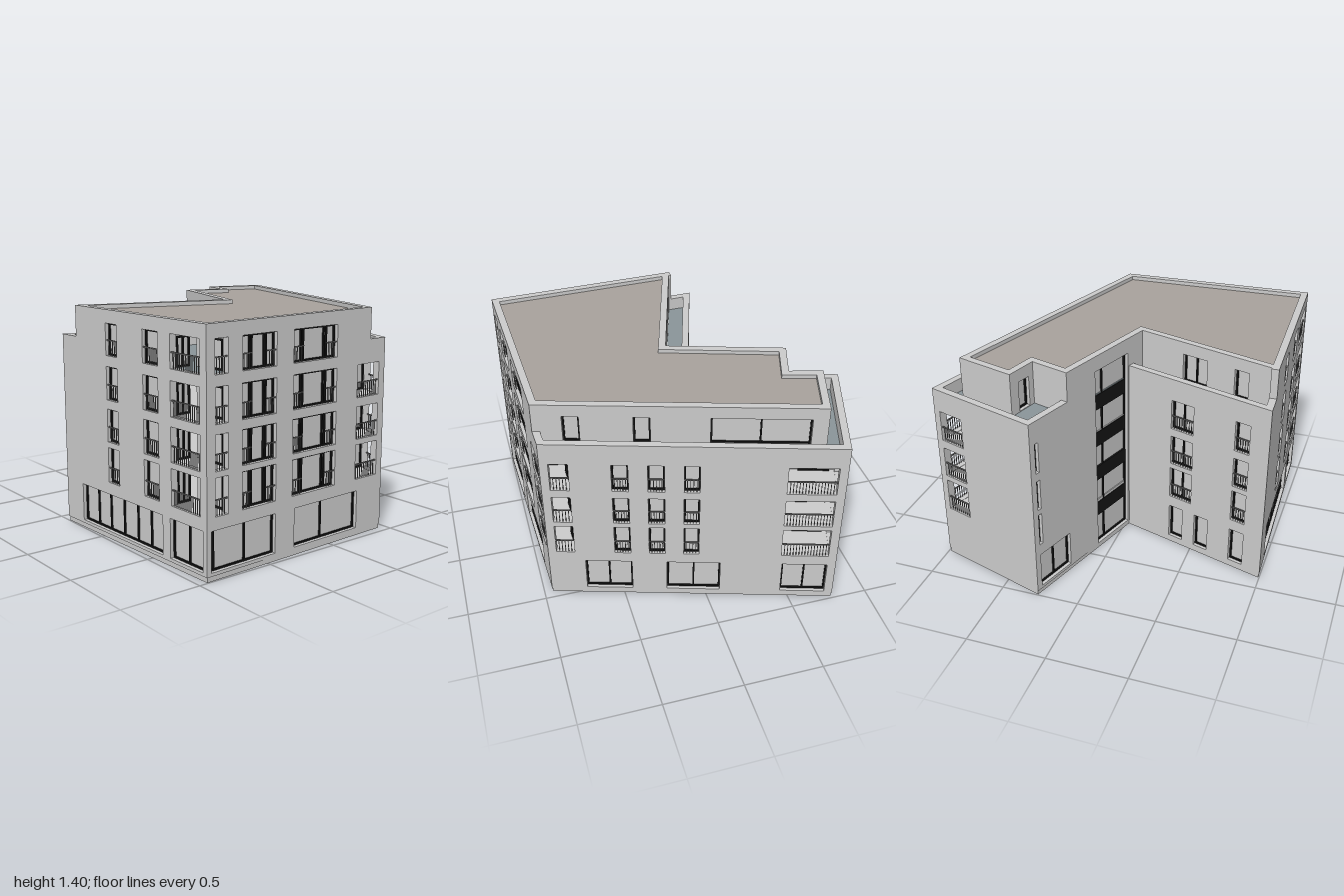
import * as THREE from 'three';

const wallMat = new THREE.MeshStandardMaterial({ color: 0xcccccc });
const paneMat = new THREE.MeshStandardMaterial({ color: 0xcccccc });
const frameMat = new THREE.MeshStandardMaterial({ color: 0x151515 });
const railMat = new THREE.MeshStandardMaterial({ color: 0x777777 });
const roofMat = new THREE.MeshStandardMaterial({ color: 0xa8a29d });
const deckMat = new THREE.MeshStandardMaterial({ color: 0x8a9599 });

const TH = 0.045; // wall thickness
const v = (x, z) => new THREE.Vector2(x, z);
const mix = (a, b, t) => a.clone().lerp(b, t);

// Plan corners as (x, z), in order round the building
const A = v(-0.95, 1), B = v(0.45, 0.95), C = v(0.99, -0.77), D = v(0.26, -1), E = v(-0.03, -0.1), F = v(-1, -0.4);
const MAIN = [A, B, C, D, E, F];
const T_AB = 0.907, T_DE = 0.36, T_FA = 0.11; // where the top storey steps
const TOP = [A, mix(A, B, T_AB), v(0.83, -0.69), v(0.455, -0.8), v(0.4, -0.6), mix(D, E, T_DE), E, mix(D, E, 1.15), mix(F, A, T_FA)];

const ROWS = [[0.36, 0.575], [0.61, 0.81], [0.865, 1.065], [1.13, 1.32]];
const GROUND = [0.05, 0.285], PARAPET = 1.21, ROOF = 1.4;

// Half-angle factor of the interior corner i, used for mitres and insets
function mitre(poly, i) {
  const n = poly.length, k = poly[i];
  const e1 = k.clone().sub(poly[(i + n - 1) % n]).normalize();
  const e2 = poly[(i + 1) % n].clone().sub(k).normalize();
  const turn = Math.atan2(e1.y * e2.x - e1.x * e2.y, e1.dot(e2));
  return { m: Math.tan(turn / 2), e1, e2 };
}

function inset(poly, d) {
  return poly.map((k, i) => {
    const { m, e2 } = mitre(poly, i);
    return v(k.x + e2.y * d + e2.x * d * m, k.y - e2.x * d + e2.y * d * m);
  });
}

function box(parent, name, mat, w, h, d, x, y, z) {
  const b = new THREE.Mesh(new THREE.BoxGeometry(w, h, d), mat);
  b.position.set(x, y, z);
  b.name = name;
  parent.add(b);
}

// Horizontal slab with its top at y
function slab(parent, name, poly, y, h, mat) {
  const s = new THREE.Shape(poly.map(p => v(p.x, -p.y)));
  const m = new THREE.Mesh(new THREE.ExtrudeGeometry(s, { depth: h, bevelEnabled: false }), mat);
  m.rotation.x = -Math.PI / 2;
  m.position.y = y - h;
  m.name = name;
  parent.add(m);
}

// Group whose x runs from p to q and whose z points outward
function facade(parent, name, p, q) {
  const g = new THREE.Group();
  g.position.set(p.x, 0, p.y);
  g.rotation.y = Math.atan2(p.y - q.y, q.x - p.x);
  g.name = name;
  parent.add(g);
  return g;
}

function glazing(g, u0, u1, y0, y1, bars = [], z = -0.035) {
  const w = u1 - u0, h = y1 - y0, um = (u0 + u1) / 2, ym = (y0 + y1) / 2, f = 0.01;
  box(g, 'windowPane', paneMat, w, h, 0.006, um, ym, z);
  for (const y of [y0 + f / 2, y1 - f / 2]) box(g, 'windowFrame', frameMat, w, f, 0.018, um, y, z + 0.004);
  for (const t of [0, ...bars, 1]) {
    const u = THREE.MathUtils.clamp(u0 + t * w, u0 + f / 2, u1 - f / 2);
    box(g, 'windowFrame', frameMat, f, h, 0.018, u, ym, z + 0.004);
  }
}

function railing(g, u0, u1, y0) {
  const n = Math.max(2, Math.round((u1 - u0) / 0.018)), h = 0.09;
  box(g, 'handrail', railMat, u1 - u0, 0.007, 0.008, (u0 + u1) / 2, y0 + h, -0.01);
  for (let i = 1; i < n; i++)
    box(g, 'baluster', railMat, 0.004, h, 0.004, u0 + (u1 - u0) * i / n, y0 + h / 2, -0.01);
}

// Mitred wall on edge i. tops: [t, height] steps; holes: {t:[a,b], y:[a,b], bars, rails, open}
function wall(parent, name, poly, i, y0, tops, holes) {
  const j = (i + 1) % poly.length, L = poly[i].distanceTo(poly[j]);
  const g = facade(parent, name, poly[i], poly[j]);
  const pts = [v(0, y0), v(L, y0)];
  for (let k = tops.length - 1; k >= 0; k--) {
    const end = k + 1 < tops.length ? tops[k + 1][0] : 1;
    pts.push(v(end * L, tops[k][1]), v(tops[k][0] * L, tops[k][1]));
  }
  const shape = new THREE.Shape(pts);
  for (const { t, y } of holes) {
    const a = t[0] * L, b = t[1] * L;
    shape.holes.push(new THREE.Path([v(a, y[0]), v(a, y[1]), v(b, y[1]), v(b, y[0])]));
  }
  const geo = new THREE.ExtrudeGeometry(shape, { depth: TH, bevelEnabled: false }).translate(0, 0, -TH);
  const m0 = mitre(poly, i).m, m1 = mitre(poly, j).m, pos = geo.attributes.position;
  for (let k = 0; k < pos.count; k++) {
    if (pos.getZ(k) > -TH / 2) continue;
    const x = pos.getX(k);
    if (x < 1e-4) pos.setX(k, TH * m0);
    else if (x > L - 1e-4) pos.setX(k, L - TH * m1);
  }
  geo.computeVertexNormals();
  const mesh = new THREE.Mesh(geo, wallMat);
  mesh.name = name + 'Panel';
  g.add(mesh);
  for (const { t, y, bars, rails = [], open } of holes) {
    const a = t[0] * L, b = t[1] * L;
    if (!open) glazing(g, a, b, y[0], y[1], bars);
    for (const [r0, r1] of rails) railing(g, a + (b - a) * r0, a + (b - a) * r1, y[0]);
  }
  return g;
}

// Partitions closing off the open balcony room at a corner
function loggia(parent, i, a, b, rows) {
  const { e1, e2 } = mitre(MAIN, i), k = MAIN[i];
  const p = k.clone().addScaledVector(e1, -a), q = p.clone().addScaledVector(e2, b), r = k.clone().addScaledVector(e2, b);
  for (const [s, e] of [[p, q], [q, r]]) {
    const g = facade(parent, 'loggiaPartition', s, e), L = s.distanceTo(e);
    const m = TH * 0.6;
    for (const [y0, y1] of rows) {
      box(g, 'partition', wallMat, L - 2 * m, y1 - y0 + 0.05, 0.012, L / 2, (y0 + y1) / 2, -0.006);
      glazing(g, L * 0.3, L * 0.8, y0, y1 - 0.02, [0.5], 0.002);
    }
  }
}

export function createModel() {
  const model = new THREE.Group();
  model.name = 'apartmentBuilding';
  const low = ROWS.slice(0, 3), all = [[0, 1]];
  const column = (t, rows, opt) => rows.map(y => ({ t, y, ...opt }));
  const fx = (a, b) => [(a + 0.95) / 1.4, (b + 0.95) / 1.4];
  const fz = (a, b) => [(0.95 - a) / 1.72, (0.95 - b) / 1.72];
  const fp = (a, b) => [(0.955 - a) / 1.645, (0.955 - b) / 1.645];
  const balcony = { open: true, rails: all };
  const french = { rails: all };

  // Main walls
  wall(model, 'frontWall', MAIN, 0, 0.03, [[0, ROOF], [T_AB, PARAPET]], [
    ...column(fx(-0.89, -0.8), ROWS, balcony),
    ...column(fx(-0.7, -0.45), ROWS, { bars: [0.28, 0.34, 0.7, 0.76], rails: [[0, 0.3], [0.74, 1]] }),
    ...column(fx(-0.32, 0.03), ROWS, { bars: [0.22, 0.27, 0.74, 0.8], rails: [[0, 0.24], [0.77, 1]] }),
    ...column(fx(0.21, 0.4), low, balcony),
    { t: fx(-0.92, -0.45), y: GROUND, bars: [0.07, 0.54] },
    { t: fx(-0.3, 0.23), y: GROUND, bars: [0.45] },
  ]);
  wall(model, 'rightWall', MAIN, 1, 0.03, [[0, PARAPET]], [
    ...column(fz(0.9, 0.79), low, balcony),
    ...[[0.55, 0.455], [0.345, 0.25], [0.14, 0.05]].flatMap(([a, b]) => column(fz(a, b), low, french)),
    ...column(fz(-0.44, -0.72), low, balcony),
    ...[[0.73, 0.45], [0.24, -0.08], [-0.45, -0.72]].map(([a, b]) => ({ t: fz(a, b), y: GROUND, bars: [0.5] })),
  ]);
  wall(model, 'backWall', MAIN, 2, 0.03, [[0, PARAPET]], column([0.06, 0.29], low, balcony));
  const stair = wall(model, 'stairWall', MAIN, 3, 0.03, [[0, PARAPET], [T_DE, ROOF]], [
    ...column([0.045, 0.075], low, {}),
    { t: [0.045, 0.34], y: GROUND, bars: [0.5] },
    { t: [0.64, 0.985], y: [0.04, 1.3], bars: [0.28] },
  ]);
  // Dark floor bands across the stair glazing
  const LS = D.distanceTo(E);
  for (const y of [0.29, 0.56, 0.81, 1.07])
    box(stair, 'stairBand', frameMat, LS * 0.34, 0.1, 0.012, LS * 0.812, y, -0.026);
  wall(model, 'courtWall', MAIN, 4, 0.03, [[0, PARAPET]], [
    ...column([0.32, 0.48], low, { bars: [0.5], rails: all }),
    ...column([0.77, 0.87], low, french),
    ...[[0.32, 0.42], [0.51, 0.61], [0.77, 0.87]].map(t => ({ t, y: GROUND })),
  ]);
  wall(model, 'leftWall', MAIN, 5, 0.03, [[0, PARAPET], [T_FA, ROOF]], [
    ...column([0.34, 0.42], ROWS, french),
    ...column([0.6, 0.7], ROWS, french),
    ...column([0.78, 0.96], ROWS, balcony),
    { t: [0.13, 0.72], y: GROUND, bars: [0.17, 0.33, 0.5, 0.67, 0.83] },
    { t: [0.77, 0.975], y: GROUND, bars: [0.5] },
  ]);

  // Set-back walls of the top storey
  const topHoles = {
    1: [{ t: fp(0.785, 0.69) }, { t: fp(0.39, 0.295) }, { t: fp(-0.04, -0.6), bars: [0.5] }],
    2: [], 3: [{ t: [0.35, 0.8] }], 4: [], 6: [],
    7: [{ t: [0.32, 0.5], bars: [0.5] }, { t: [0.7, 0.8] }],
  };
  for (const [i, holes] of Object.entries(topHoles))
    wall(model, 'topStoreyWall', TOP, +i, 1.09, [[0, ROOF]], holes.map(h => ({ y: ROWS[3], ...h })));

  // Corner balconies
  loggia(model, 0, 0.33, 0.18, ROWS);
  loggia(model, 1, 0.27, 0.2, low);
  loggia(model, 2, 0.38, 0.24, low);

  // Plinth, floors, terrace and roof
  slab(model, 'plinth', inset(MAIN, 0.005), 0.03, 0.03, wallMat);
  for (const [y] of low) slab(model, 'floorSlab', inset(MAIN, 0.025), y - 0.002, 0.03, wallMat);
  slab(model, 'terraceDeck', inset(MAIN, 0.025), 1.125, 0.035, deckMat);
  slab(model, 'roof', inset(TOP, 0.025), 1.375, 0.03, roofMat);
  return model;
}
